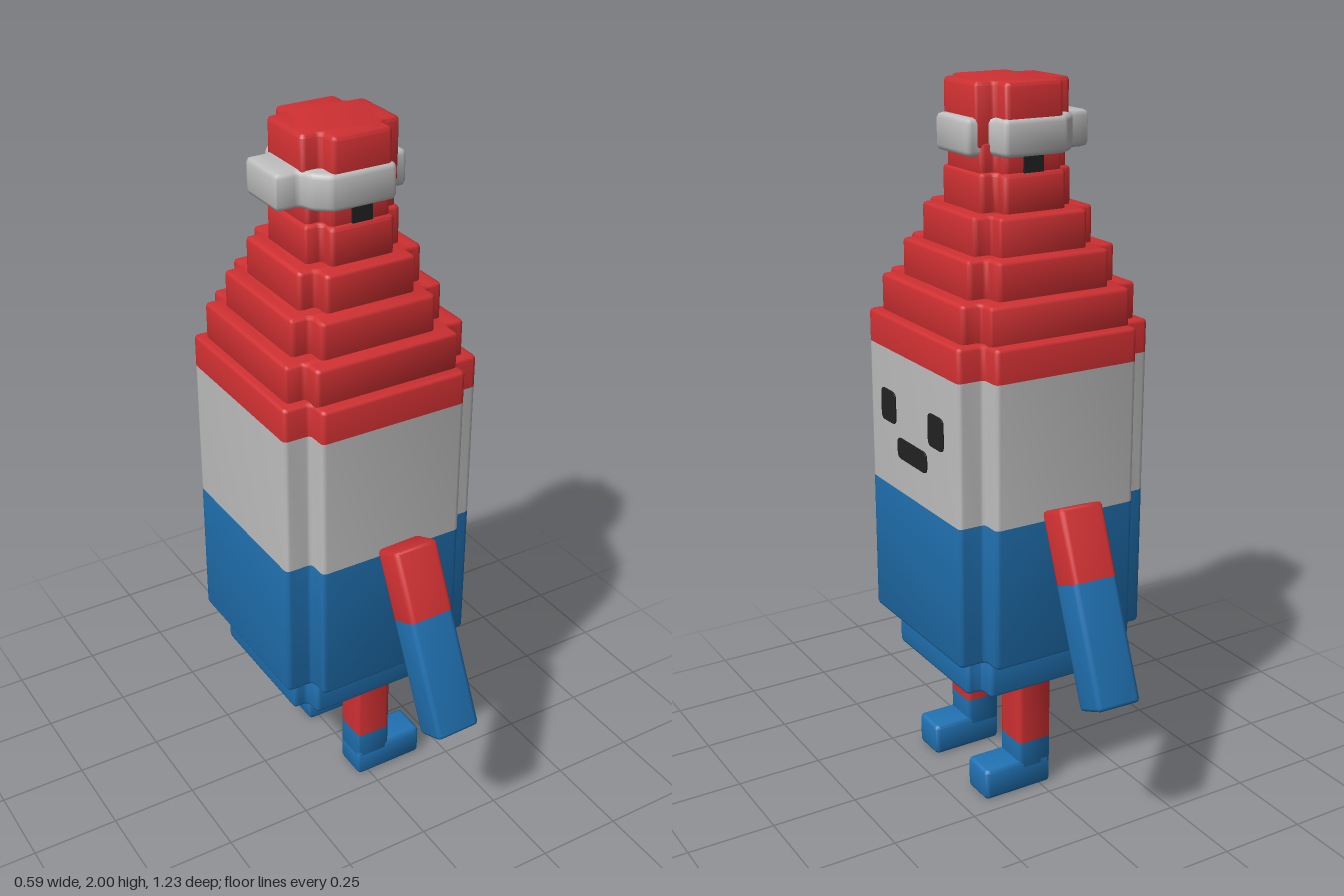
import * as THREE from 'three';
import { toCreasedNormals } from 'three/addons/utils/BufferGeometryUtils.js';

const material = (name, color) => {
  const m = new THREE.MeshStandardMaterial({ color });
  m.name = name;
  return m;
};

// Closed outline with slightly rounded corners
function roundedShape(points, r) {
  const shape = new THREE.Shape();
  const pts = points.map(([x, y]) => new THREE.Vector2(x, y));
  const n = pts.length;
  pts.forEach((p, i) => {
    const toward = (q) => p.clone().add(q.clone().sub(p).setLength(r));
    const a = toward(pts[(i + n - 1) % n]);
    const b = toward(pts[(i + 1) % n]);
    if (i === 0) shape.moveTo(a.x, a.y);
    else shape.lineTo(a.x, a.y);
    shape.quadraticCurveTo(p.x, p.y, b.x, b.y);
  });
  shape.closePath();
  return shape;
}

// Rectangle whose four corners are notched by nx, nz
function notchedPlan(x0, x1, hz, nx, nz) {
  return [
    [x0 + nx, -hz], [x1 - nx, -hz], [x1 - nx, -hz + nz], [x1, -hz + nz],
    [x1, hz - nz], [x1 - nx, hz - nz], [x1 - nx, hz], [x0 + nx, hz],
    [x0 + nx, hz - nz], [x0, hz - nz], [x0, -hz + nz], [x0 + nx, -hz + nz],
  ];
}

// Soft-edged extrusion from 0 to depth along z
function softExtrude(points, depth, bevel, r) {
  return new THREE.ExtrudeGeometry(roundedShape(points, r), {
    depth: depth - 2 * bevel, bevelEnabled: true, bevelThickness: bevel,
    bevelSize: bevel, bevelOffset: -bevel, bevelSegments: 2, curveSegments: 3,
  }).translate(0, 0, bevel);
}

// Horizontal slab from y0 to y1; an end that is not soft is cut square
function slab(points, y0, y1, softBottom = true, softTop = true, bevel = 0.01) {
  const lo = softBottom ? y0 : y0 - bevel;
  const hi = softTop ? y1 : y1 + bevel;
  const g = softExtrude(points, hi - lo, bevel, 0.014);
  g.rotateX(-Math.PI / 2).translate(0, lo, 0);
  const p = g.attributes.position;
  for (let i = 0; i < p.count; i++) p.setY(i, THREE.MathUtils.clamp(p.getY(i), y0, y1));
  return toCreasedNormals(g, 0.9);
}

export function createModel() {
  const model = new THREE.Group();
  model.name = 'blockFigure';
  const red = material('red', 0xcf3032);
  const blue = material('blue', 0x2173b4);
  const white = material('white', 0xbebebe);
  const black = material('black', 0x222222);

  const add = (name, geometry, mat, parent = model) => {
    const mesh = new THREE.Mesh(geometry, mat);
    mesh.name = name;
    parent.add(mesh);
    return mesh;
  };

  // Body in three colour bands, with a narrower base
  const body = notchedPlan(-0.3, 0.288, 0.31, 0.077, 0.06);
  add('bodyBase', slab(notchedPlan(-0.255, 0.24, 0.25, 0.045, 0.05), 0.355, 0.49), blue);
  add('lowerBody', slab(body, 0.47, 0.877, true, false), blue);
  add('faceBand', slab(body, 0.877, 1.275, false, false), white);
  add('upperBody', slab(body, 1.275, 1.367, false, true), red);

  // Stepped shoulders
  const steps = [
    [-0.275, 0.26, 0.278, 0.055], [-0.235, 0.215, 0.235, 0.055],
    [-0.19, 0.175, 0.19, 0.05], [-0.145, 0.132, 0.147, 0.045],
  ];
  steps.forEach(([x0, x1, hz, n], i) => {
    const y = 1.367 + i * 0.101;
    add('shoulderStep' + (i + 1), slab(notchedPlan(x0, x1, hz, n, n), y - 0.012, y + 0.101), red);
  });

  // Neck, cap and the band around the cap
  add('neck', slab(notchedPlan(-0.138, 0.125, 0.135, 0.045, 0.045), 1.755, 1.85), red);
  add('cap', slab(notchedPlan(-0.148, 0.135, 0.143, 0.055, 0.055), 1.83, 2.0), red);
  const bandPlan = [
    [-0.215, -0.08], [-0.15, -0.08], [-0.14, -0.115], [-0.095, -0.153], [0.088, -0.153],
    [0.095, -0.085], [0.16, -0.085], [0.16, 0.085], [0.095, 0.085], [0.088, 0.153],
    [-0.095, 0.153], [-0.14, 0.115], [-0.15, 0.08], [-0.215, 0.08],
  ];
  add('capBand', slab(bandPlan, 1.812, 1.91, true, true, 0.014), white);
  for (const s of [1, -1]) {
    const slot = add('neckSlot', new THREE.BoxGeometry(0.06, 0.05, 0.008), black);
    slot.position.set(-0.005, 1.79, s * 0.136);
  }

  // Face plates on the +x side
  const plate = (name, z, y, w, h) => {
    const a = w / 2, b = h / 2;
    const g = softExtrude([[-a, -b], [a, -b], [a, b], [-a, b]], 0.008, 0.001, 0.018);
    add(name, g.rotateY(Math.PI / 2).translate(0.284, y, z), black);
  };
  plate('eye', 0.137, 1.113, 0.082, 0.092);
  plate('eye', -0.131, 1.113, 0.082, 0.092);
  plate('mouth', 0.004, 1.008, 0.165, 0.06);

  for (const s of [1, -1]) {
    // Arms hang outward; the red sleeve joins the blue forearm
    const arm = new THREE.Group();
    arm.name = s > 0 ? 'leftArm' : 'rightArm';
    const armPlan = [[-0.066, -0.05], [0.066, -0.05], [0.066, 0.05], [-0.066, 0.05]];
    add('sleeve', slab(armPlan, -0.2, 0, false, true), red, arm);
    add('forearm', slab(armPlan, -0.535, -0.2, true, false), blue, arm);
    arm.position.set(0.008, 0.925, s * 0.357);
    arm.rotation.set(-s * 0.415, 0, 0.026);
    model.add(arm);

    // Leg and L-shaped boot pointing to +x
    const z = s * 0.147;
    const legPlan = [[-0.035, -0.053], [0.07, -0.053], [0.07, 0.053], [-0.035, 0.053]];
    add('leg', slab(legPlan, 0.15, 0.37, false, false).translate(0, 0, z), red);
    add('ankle', slab(legPlan, 0.06, 0.15, true, false).translate(0, 0, z), blue);
    const footPlan = [[-0.035, -0.053], [0.18, -0.053], [0.18, 0.053], [-0.035, 0.053]];
    add('foot', slab(footPlan, 0, 0.092).translate(0, 0, z), blue);
  }
  return model;
}
